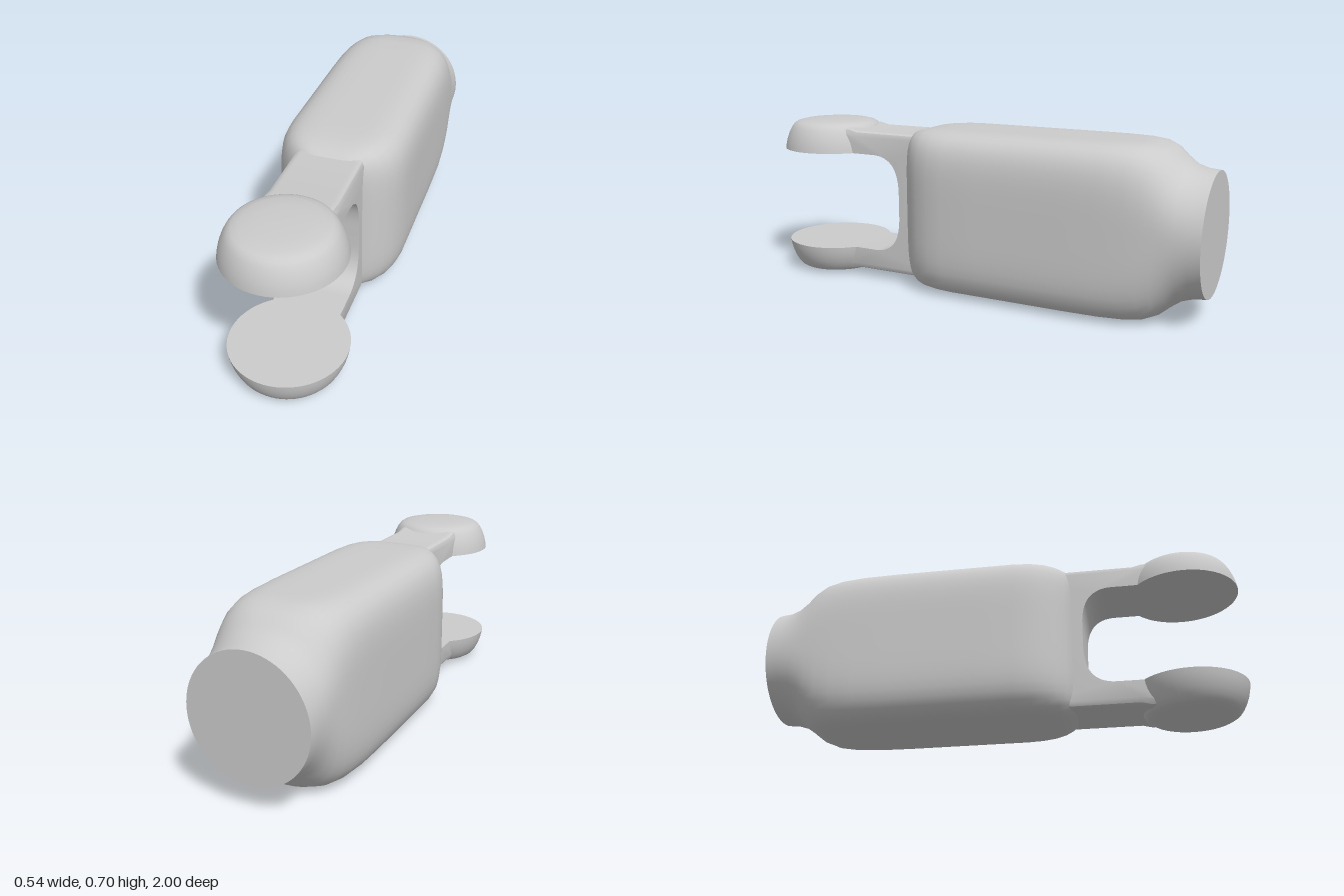
import * as THREE from 'three';
import { toCreasedNormals } from 'three/addons/utils/BufferGeometryUtils.js';

const MID = 0.35; // height of the long axis
const material = new THREE.MeshStandardMaterial({ color: 0xcccccc });

function part(name, geometry, crease = 0.6) {
  const mesh = new THREE.Mesh(toCreasedNormals(geometry, crease), material);
  mesh.name = name;
  return mesh;
}

// Body: superellipse sections [z, half width, half height, exponent], round at the back
function bodyGeometry() {
  const sections = [
    [-1, 0.246, 0.25, 2], [-0.95, 0.247, 0.254, 2.05], [-0.9, 0.25, 0.268, 2.25],
    [-0.86, 0.253, 0.296, 2.5], [-0.82, 0.257, 0.328, 2.9], [-0.77, 0.262, 0.345, 3.5],
    [-0.7, 0.266, 0.35, 4.2], [-0.6, 0.269, 0.35, 4.8], [-0.45, 0.27, 0.35, 5],
    [-0.1, 0.27, 0.35, 5], [0.06, 0.27, 0.35, 5], [0.13, 0.262, 0.349, 5],
    [0.19, 0.243, 0.346, 5], [0.235, 0.215, 0.34, 5], [0.27, 0.18, 0.33, 5], [0.3, 0.138, 0.312, 5],
  ];
  const N = 72, rows = sections.length, pos = [], index = [];
  for (const [z, w, h, n] of sections) {
    for (let j = 0; j < N; j++) {
      const a = (j / N) * Math.PI * 2, c = Math.cos(a), s = Math.sin(a);
      const r = Math.pow(Math.abs(c) ** n + Math.abs(s) ** n, -1 / n);
      pos.push(w * r * c, MID + h * r * s, z);
    }
  }
  for (let i = 0; i < rows - 1; i++) {
    for (let j = 0; j < N; j++) {
      const k = (j + 1) % N, a = i * N + j, b = i * N + k;
      index.push(a, b, a + N, b, b + N, a + N);
    }
  }
  // flat end caps
  const back = rows * N, front = back + 1, last = (rows - 1) * N;
  pos.push(0, MID, -1, 0, MID, 0.3);
  for (let j = 0; j < N; j++) {
    const k = (j + 1) % N;
    index.push(back, k, j, front, last + j, last + k);
  }
  const g = new THREE.BufferGeometry();
  g.setAttribute('position', new THREE.Float32BufferAttribute(pos, 3));
  g.setIndex(index);
  return g;
}

// Fork: U-shaped side profile swept across x, with the outer long edges rounded off
function forkGeometry() {
  const half = 0.142, edge = 0.025;
  const s = new THREE.Shape();
  s.moveTo(0.15, 0.035);
  s.lineTo(0.56, 0.035);
  s.lineTo(0.6, 0.025);
  s.lineTo(0.66, 0.025);
  s.lineTo(0.66, 0.134);
  s.lineTo(0.47, 0.134);
  s.bezierCurveTo(0.38, 0.134, 0.34, 0.19, 0.34, 0.3);
  s.lineTo(0.34, 0.4);
  s.bezierCurveTo(0.34, 0.51, 0.38, 0.566, 0.47, 0.566);
  s.lineTo(0.66, 0.566);
  s.lineTo(0.66, 0.675);
  s.lineTo(0.6, 0.675);
  s.lineTo(0.56, 0.665);
  s.lineTo(0.15, 0.665);
  s.closePath();
  const g = new THREE.ExtrudeGeometry(s, { depth: half * 2, steps: 32, bevelEnabled: false, curveSegments: 16 });
  g.rotateY(-Math.PI / 2).translate(half, 0, 0);
  const p = g.attributes.position;
  for (let i = 0; i < p.count; i++) {
    const y = p.getY(i) - MID;
    const t = Math.max(0, Math.abs(p.getX(i)) - (half - edge)) / edge;
    const drop = edge * (1 - Math.sqrt(Math.max(0, 1 - t * t)));
    if (Math.abs(y) > 0.28) p.setY(i, MID + Math.sign(y) * (Math.abs(y) - drop));
  }
  return g;
}

// Pad: flat disc inside, domed outside
function padGeometry() {
  const profile = [
    [0, 0], [0.235, 0], [0.232, 0.02], [0.226, 0.045], [0.216, 0.072], [0.204, 0.095],
    [0.192, 0.111], [0.178, 0.12], [0.15, 0.127], [0.1, 0.1315], [0.05, 0.133], [0, 0.134],
  ].map(([x, y]) => new THREE.Vector2(x, y));
  return new THREE.LatheGeometry(profile, 64);
}

export function createModel() {
  const model = new THREE.Group();
  model.name = 'forkedHandle';
  model.add(part('body', bodyGeometry(), 0.8), part('fork', forkGeometry()));

  for (const side of [1, -1]) {
    const pad = part(side > 0 ? 'upperPad' : 'lowerPad', padGeometry());
    pad.position.set(0, MID + side * 0.216, 0.765);
    if (side < 0) pad.rotation.z = Math.PI;
    model.add(pad);
  }
  return model;
}
